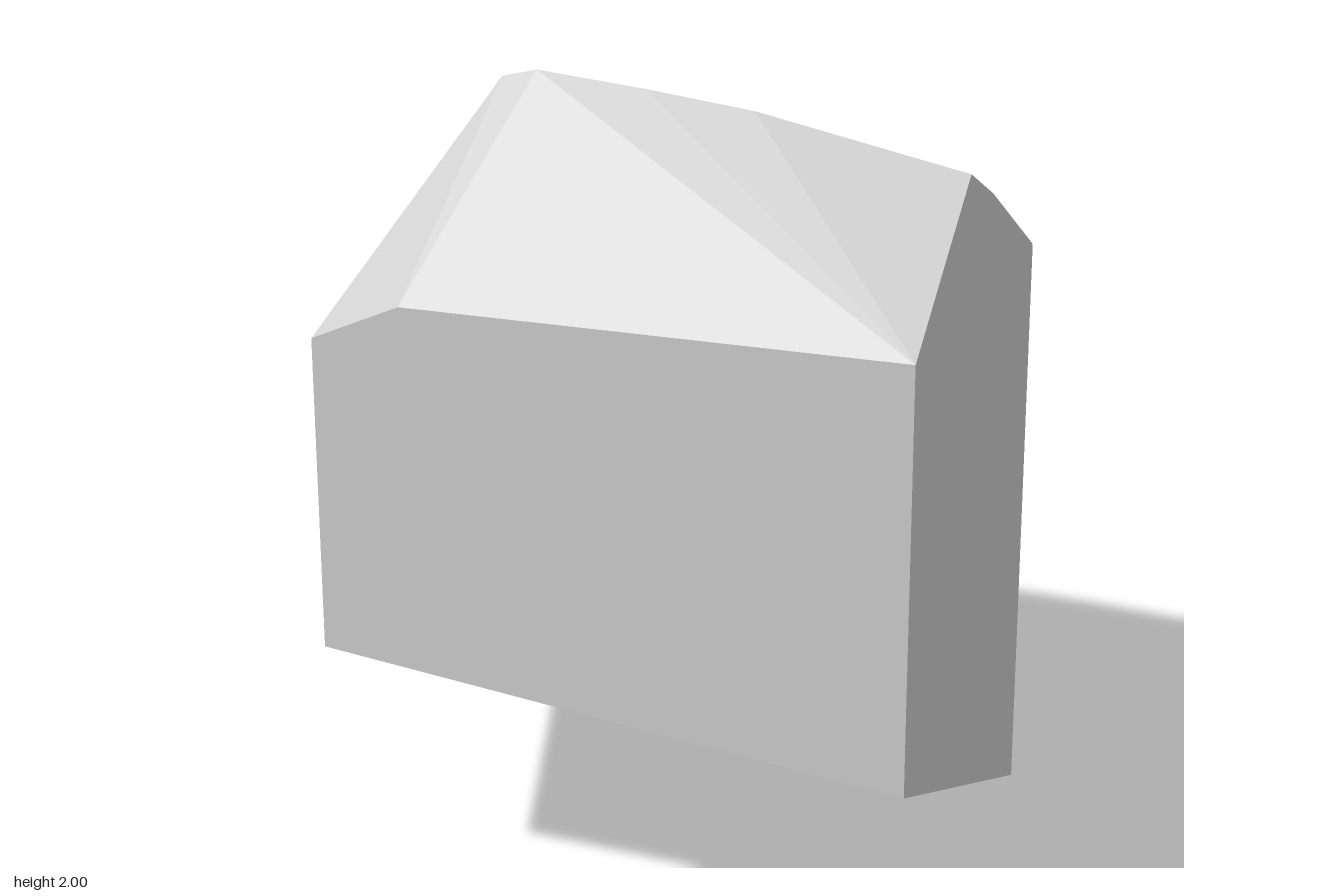
import * as THREE from 'three';
import { ConvexGeometry } from 'three/addons/geometries/ConvexGeometry.js';

const W = 0.705; // half width
const D = 0.583; // half depth
const RIDGE_Z = 0.11;

// One row of [x, y] points lying at depth z
const row = (z, points) => points.map(([x, y]) => new THREE.Vector3(x, y, z));

export function createModel() {
  const group = new THREE.Group();
  const grey = new THREE.MeshStandardMaterial({ color: 0xcccccc });
  grey.name = 'plain grey';

  const corners = [
    // slanted underside
    ...row(D, [[-W, 0.692], [W, 0.518]]),
    ...row(-D, [[-W, 0.205], [W, 0]]),
    // front eave
    ...row(D, [[-W, 1.465], [-0.49, 1.563], [W, 1.563]]),
    // ridge, bowed along its length and hipped at one end
    ...row(RIDGE_Z, [[-0.41, 1.978], [-0.325, 2], [-0.06, 1.977], [0.2, 1.948], [W, 1.848]]),
    // gentle bulge halfway down the back slope
    ...row(-0.12, [[-0.3, 1.888], [0.2, 1.836], [W, 1.733]]),
    // back eave
    ...row(-D, [[-W, 1.465], [-0.37, 1.625], [-0.3, 1.632], [-0.06, 1.608], [0.2, 1.568], [W, 1.462]]),
  ];

  // Convex faceted block: flat walls, slanted base and hipped roof
  const block = new THREE.Mesh(new ConvexGeometry(corners), grey);
  block.name = 'hippedBlock';
  group.add(block);
  return group;
}
